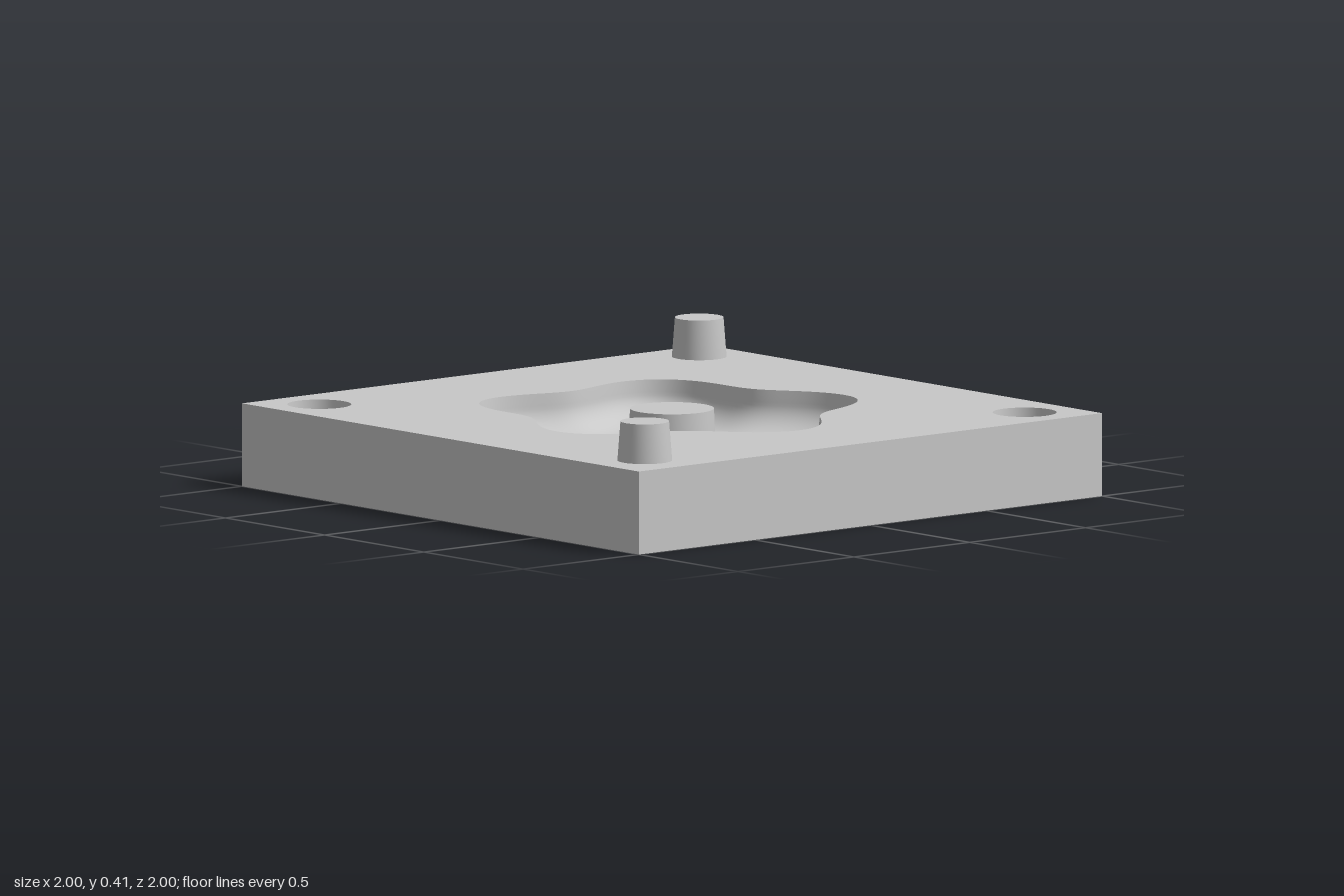
import * as THREE from 'three';
import { toCreasedNormals } from 'three/addons/utils/BufferGeometryUtils.js';

const TOP = 0.275, FLOOR = 0.13, PEG_TOP = 0.405, CORNER = 0.82;
const HOLE_R = 0.105, ROUND = 40, STAR = 160;

// Five-lobed outline: one lobe points to the front
const starRadius = (a) => 0.575 + 0.07 * Math.cos(5 * a);
const circle = () => 1;

// Closed outline as [x, z] pairs
function outline(radius, n, scale = 1) {
  return Array.from({ length: n }, (_, j) => {
    const a = (j / n) * Math.PI * 2, r = radius(a) * scale;
    return [r * Math.sin(a), r * Math.cos(a)];
  });
}

// Skin through scaled outlines; profile is [scale, y], running upwards for outward faces
function loft(profile, radius, n) {
  const pos = [], index = [];
  for (const [s, y] of profile) {
    for (const [x, z] of outline(radius, n, s)) pos.push(x, y, z);
  }
  for (let i = 0; i < profile.length - 1; i++) {
    for (let j = 0; j < n; j++) {
      const k = (j + 1) % n;
      const a = i * n + j, c = i * n + k, b = a + n, d = c + n;
      index.push(a, c, b, b, c, d);
    }
  }
  const geo = new THREE.BufferGeometry();
  geo.setAttribute('position', new THREE.Float32BufferAttribute(pos, 3));
  geo.setIndex(index);
  return toCreasedNormals(geo, 0.6);
}

export function createModel() {
  const model = new THREE.Group();
  model.name = 'moldHalf';
  const grey = new THREE.MeshStandardMaterial({ color: 0xc8c8c8 });
  grey.name = 'grey';

  const add = (name, geo, x = 0, z = 0) => {
    const mesh = new THREE.Mesh(geo, grey);
    mesh.name = name;
    mesh.position.set(x, 0, z);
    model.add(mesh);
  };

  // Block sides and underside: a box without its top face
  const box = new THREE.BoxGeometry(2, TOP, 2).translate(0, TOP / 2, 0);
  const faces = Array.from(box.index.array);
  faces.splice(12, 6);
  box.setIndex(faces);
  box.clearGroups();
  add('blockSides', box);

  // Top face with openings for the cavity and the two sockets
  const top = new THREE.Shape([[-1, -1], [1, -1], [1, 1], [-1, 1]].map(([x, y]) => new THREE.Vector2(x, y)));
  const cut = (pts, cx, cz) => top.holes.push(
    new THREE.Path(pts.map(([x, z]) => new THREE.Vector2(x + cx, -(z + cz)))));
  cut(outline(starRadius, STAR), 0, 0);
  for (const s of [-1, 1]) cut(outline(circle, ROUND, HOLE_R), s * CORNER, s * CORNER);
  add('blockTop', new THREE.ShapeGeometry(top).rotateX(-Math.PI / 2).translate(0, TOP, 0));

  // Star cavity: short steep wall, then a wide fillet into a flat floor
  const cavity = [[1, TOP]];
  const wallEnd = TOP - 0.04, steps = 14;
  for (let i = 0; i <= steps; i++) {
    const a = (i / steps) * Math.PI / 2;
    cavity.push([0.99 - 0.29 * (1 - Math.cos(a)), wallEnd - (wallEnd - FLOOR) * Math.sin(a)]);
  }
  cavity.push([0, FLOOR]);
  add('starCavity', loft(cavity, starRadius, STAR));

  // Tapered centre post, flush with the block top
  add('centrePost', loft([[0.145, FLOOR], [0.138, TOP], [0, TOP]], circle, ROUND));

  // Alignment pegs and sockets on opposite diagonals
  const peg = loft([[0.09, TOP], [0.08, PEG_TOP], [0, PEG_TOP]], circle, ROUND);
  const socket = loft([[HOLE_R, TOP], [0.095, FLOOR], [0, FLOOR]], circle, ROUND);
  for (const s of [-1, 1]) {
    add(s > 0 ? 'pegBackLeft' : 'pegFrontRight', peg, s * CORNER, -s * CORNER);
    add(s > 0 ? 'socketFrontLeft' : 'socketBackRight', socket, s * CORNER, s * CORNER);
  }
  return model;
}
